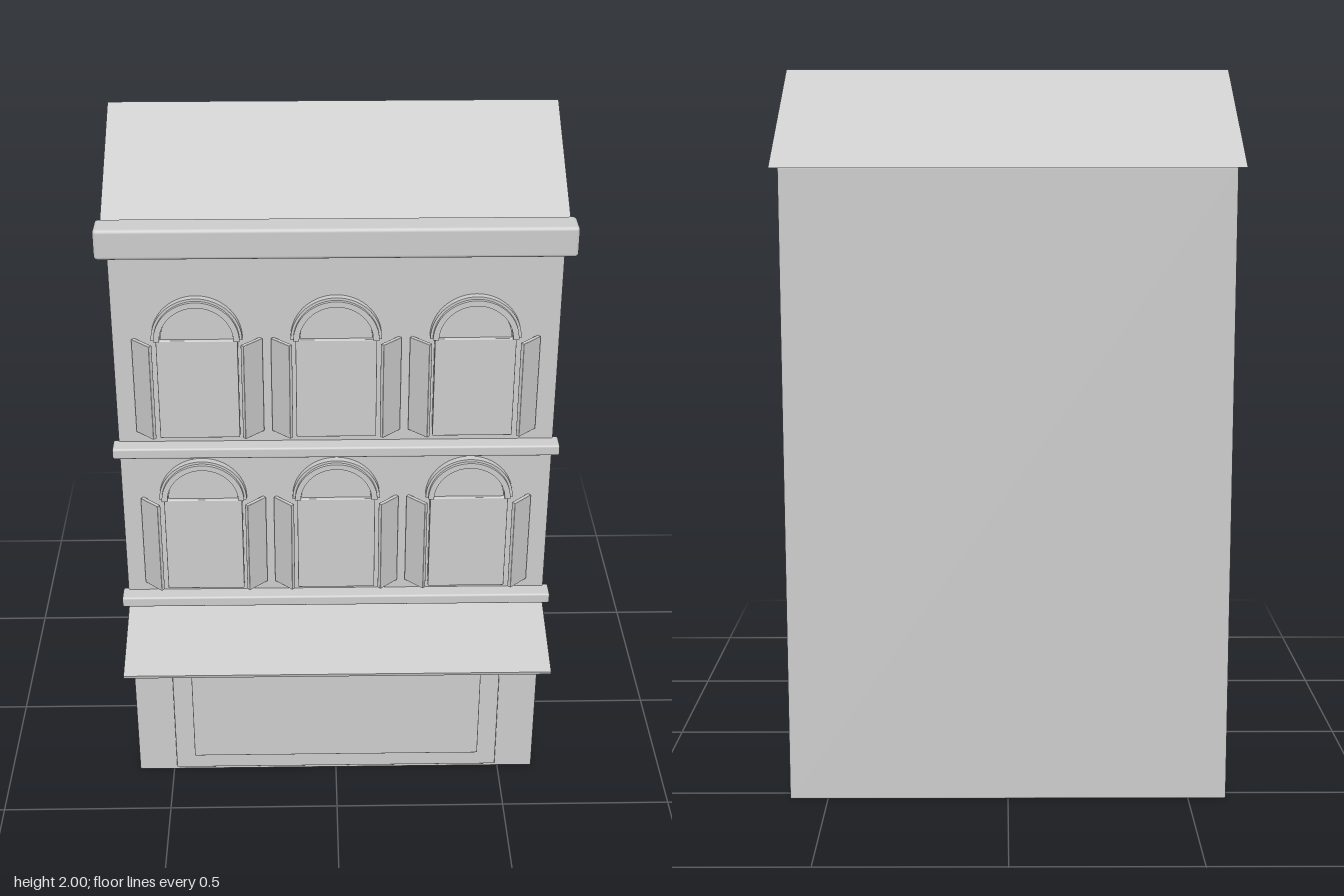
import * as THREE from 'three';
import { RoundedBoxGeometry } from 'three/addons/geometries/RoundedBoxGeometry.js';

export function createModel() {
  const model = new THREE.Group();
  model.name = 'townhouse';
  const plaster = new THREE.MeshStandardMaterial({ color: 0xcccccc });
  plaster.name = 'pale grey plaster';

  const add = (name, geometry, parent = model) => {
    const mesh = new THREE.Mesh(geometry, plaster);
    mesh.name = name;
    parent.add(mesh);
    return mesh;
  };
  // Rounded block given by its extents
  const block = (name, [x0, x1], [y0, y1], [z0, z1], radius, parent) => {
    const mesh = add(name, new RoundedBoxGeometry(x1 - x0, y1 - y0, z1 - z0, 2, radius), parent);
    mesh.position.set((x0 + x1) / 2, (y0 + y1) / 2, (z0 + z1) / 2);
    return mesh;
  };
  const extrude = (shape, depth) =>
    new THREE.ExtrudeGeometry(shape, { depth, bevelEnabled: false, curveSegments: 24 });

  // Walls
  block('walls', [-0.605, 0.605], [0, 1.742], [-0.545, 0.32], 0.005);

  // Gabled roof, ridge running along x
  const gable = new THREE.Shape([[0.345, 1.74], [-0.115, 2], [-0.575, 1.74]]
    .map(([z, y]) => new THREE.Vector2(-z, y)));
  const roof = add('roof', extrude(gable, 1.25));
  roof.rotation.y = Math.PI / 2;
  roof.position.x = -0.625;

  // Cornice and string courses
  block('cornice', [-0.635, 0.635], [1.73, 1.815], [0.278, 0.36], 0.01);
  for (const y of [0.655, 1.15])
    block('stringCourse', [-0.62, 0.62], [y - 0.016, y + 0.016], [0.308, 0.365], 0.006);

  // Shop front, stepped outwards
  block('shopSurround', [-0.49, 0.49], [0.02, 0.512], [0.3, 0.335], 0.003);
  block('shopWindow', [-0.432, 0.432], [0.08, 0.455], [0.31, 0.355], 0.003);

  // Sloping awning
  const awning = add('awning', new THREE.BoxGeometry(1.21, 0.01, 0.275));
  awning.position.set(0, 0.582, 0.446);
  awning.rotation.x = Math.atan2(0.068, 0.26);

  // Arched windows with half open shutters
  const archShape = new THREE.Shape();
  archShape.absarc(0, 0, 0.123, 0, Math.PI, false);
  archShape.absarc(0, 0, 0.1, Math.PI, 0, true);
  const archGeometry = extrude(archShape, 0.02);
  const rimShape = new THREE.Shape();
  rimShape.absarc(0, 0, 0.116, 0, Math.PI, false);
  rimShape.absarc(0, 0, 0.1, Math.PI, 0, true);
  const rimGeometry = extrude(rimShape, 0.03);
  const fanShape = new THREE.Shape();
  fanShape.absarc(0, 0, 0.098, 0, Math.PI, false);
  const fanGeometry = extrude(fanShape, 0.015);
  const shutterGeometry = new RoundedBoxGeometry(0.07, 0.285, 0.012, 1, 0.002);

  for (const sill of [0.69, 1.19]) {
    for (const x of [-0.376, 0, 0.376]) {
      const unit = new THREE.Group();
      unit.name = 'window';
      unit.position.set(x, sill, 0.32);
      model.add(unit);
      block('windowPanel', [-0.11, 0.11], [0, 0.298], [-0.01, 0.025], 0.003, unit);
      add('arch', archGeometry, unit).position.y = 0.297;
      add('archRim', rimGeometry, unit).position.y = 0.297;
      add('fanlight', fanGeometry, unit).position.y = 0.297;
      for (const side of [-1, 1]) {
        const shutter = add('shutter', shutterGeometry, unit);
        shutter.position.set(side * 0.148, 0.153, 0.026);
        shutter.rotation.y = side * 0.76;
      }
    }
  }
  return model;
}
